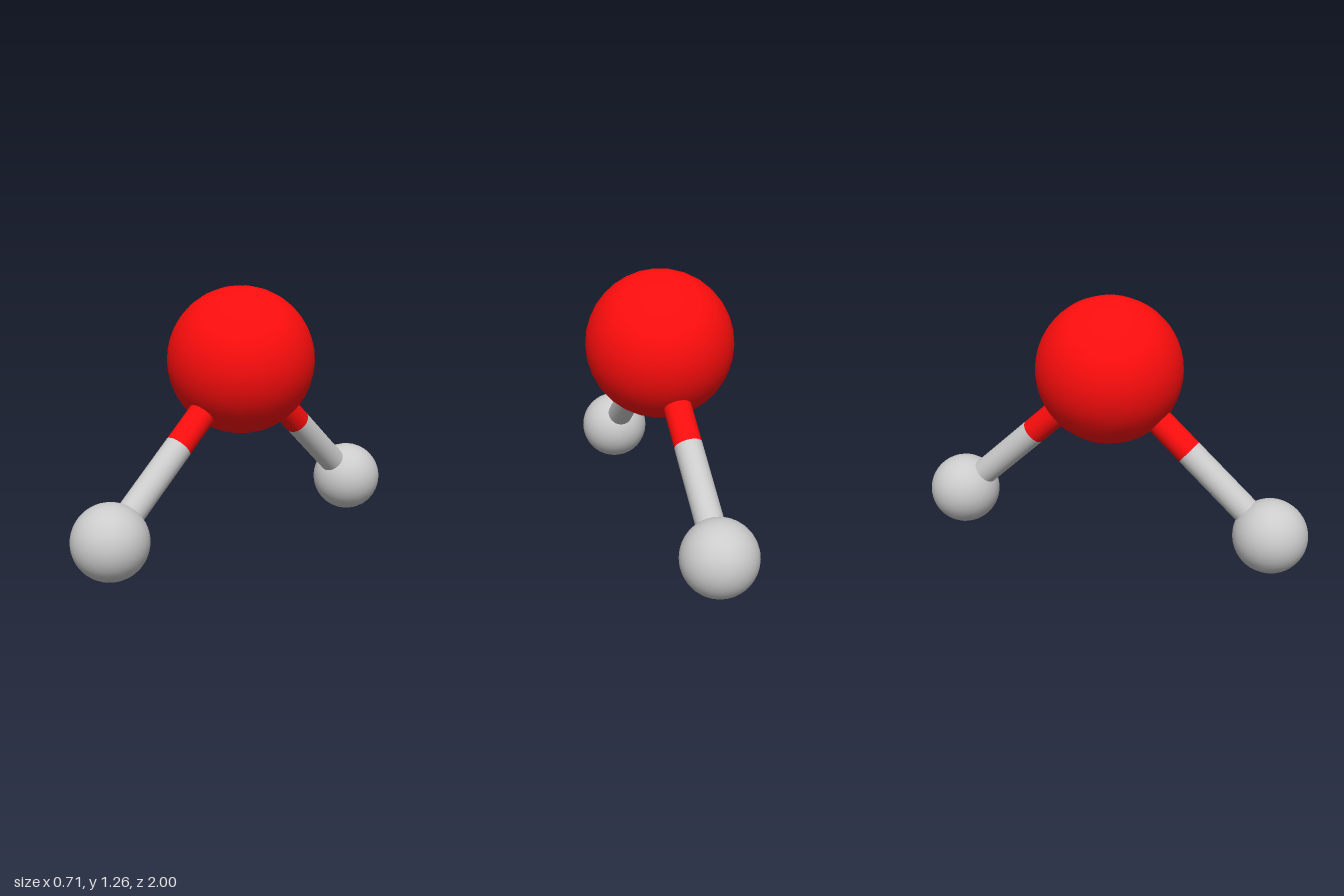
import * as THREE from 'three';

const red = new THREE.MeshStandardMaterial({ color: 0xff0d0d });
const grey = new THREE.MeshStandardMaterial({ color: 0xcccccc });
const UP = new THREE.Vector3(0, 1, 0);

function ball(name, radius, centre, material) {
  const mesh = new THREE.Mesh(new THREE.SphereGeometry(radius, 32, 32), material);
  mesh.name = name;
  mesh.position.copy(centre);
  mesh.rotation.x = Math.PI / 2;
  return mesh;
}

// Rod running from one point to another; its ends are hidden inside its neighbours
function rod(name, from, to, material) {
  const axis = to.clone().sub(from);
  const mesh = new THREE.Mesh(new THREE.CylinderGeometry(0.066, 0.066, axis.length(), 32, 1, true), material);
  mesh.name = name;
  mesh.position.copy(from).add(to).multiplyScalar(0.5);
  mesh.quaternion.setFromUnitVectors(UP, axis.normalize());
  return mesh;
}

export function createModel() {
  const model = new THREE.Group();
  model.name = 'molecule';

  // Large central atom
  const centre = new THREE.Vector3(0, 0.91, 0);
  model.add(ball('centralAtom', 0.357, centre, red));

  // Two small atoms, each on a bond coloured half and half
  for (const [label, side] of [['front', 1], ['back', -1]]) {
    const end = new THREE.Vector3(0, 0.18, side * 0.822);
    const middle = centre.clone().lerp(end, 0.5);
    model.add(
      ball(label + 'Atom', 0.178, end, grey),
      rod(label + 'BondInner', centre, middle, red),
      rod(label + 'BondOuter', middle, end, grey)
    );
  }
  return model;
}
